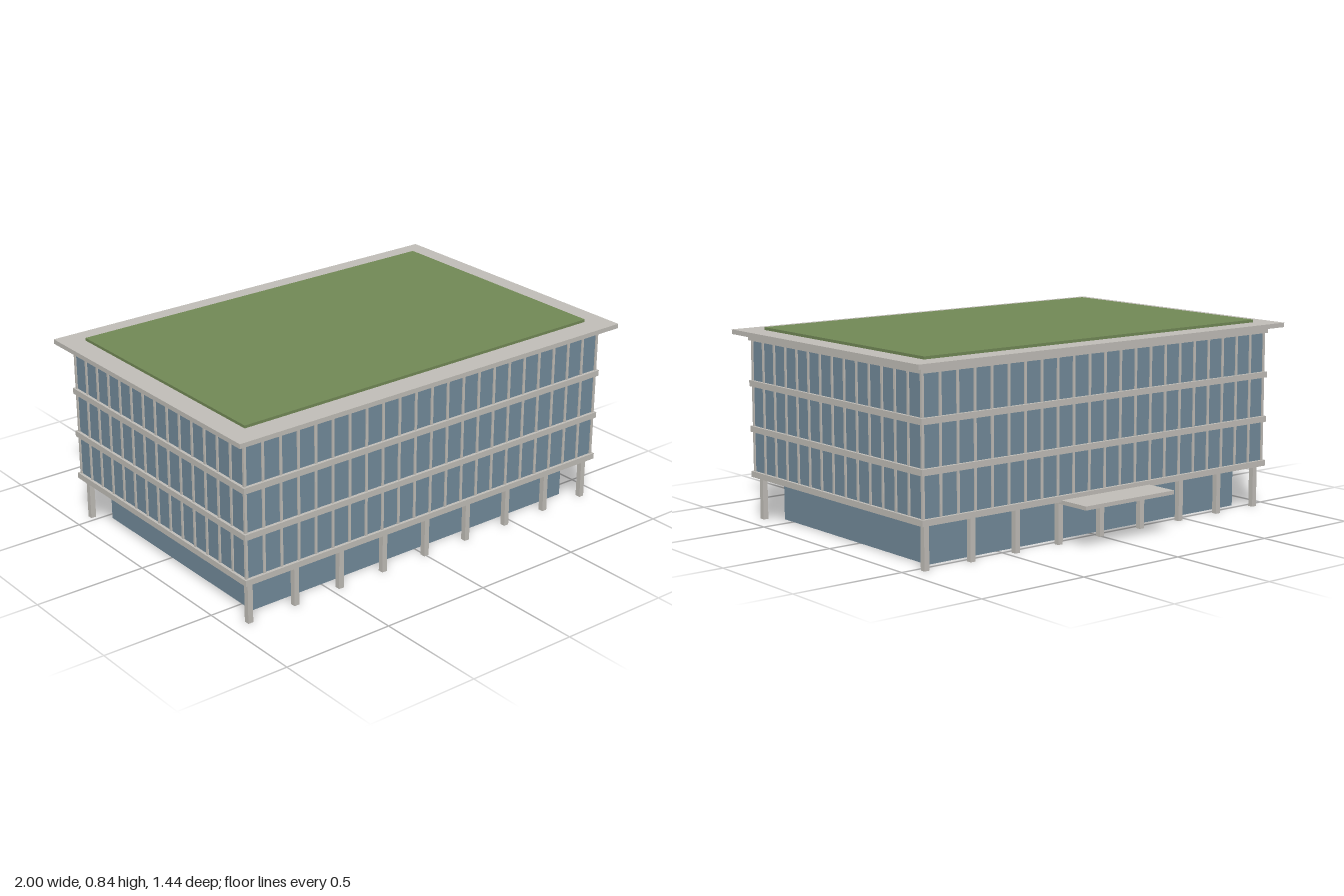
import * as THREE from 'three';

export function createModel() {
  const model = new THREE.Group();
  model.name = 'officeBuilding';

  const material = (name, color) => {
    const m = new THREE.MeshStandardMaterial({ color });
    m.name = name;
    return m;
  };
  const concrete = material('concrete', 0xc1beb8);
  const glass = material('blueGlass', 0x738b9b);
  const grass = material('roofGreen', 0x728956);

  // The main block sits slightly forward of the origin, balancing the rear canopy
  const midZ = 0.051;

  // Box centred on (x, z) spanning y0..y1
  function box(name, mat, width, depth, y0, y1, x = 0, z = midZ, parent = model) {
    const mesh = new THREE.Mesh(new THREE.BoxGeometry(width, y1 - y0, depth), mat);
    mesh.position.set(x, (y0 + y1) / 2, z);
    mesh.name = name;
    parent.add(mesh);
    return mesh;
  }
  function group(name) {
    const g = new THREE.Group();
    g.name = name;
    model.add(g);
    return g;
  }

  // Recessed ground floor
  box('groundFloor', glass, 1.7, 1.036, 0, 0.186);

  // Glazed upper storeys and projecting floor slabs
  const slabY = [0.185, 0.384, 0.583, 0.782];
  const slabHeight = 0.026;
  const halfX = 0.937, halfZ = 0.607;
  for (let i = 0; i < 3; i++) {
    box('storeyGlazing', glass, halfX * 2, halfZ * 2, slabY[i] + slabHeight, slabY[i + 1]);
  }
  slabY.forEach((y) => box('floorSlab', concrete, 1.9, 1.242, y, y + slabHeight));

  // Mullions on all four sides of each storey
  const mullions = group('mullions');
  const baysX = 22, baysZ = 14, bar = 0.011;
  for (let s = 0; s < 3; s++) {
    const y0 = slabY[s] + slabHeight, y1 = slabY[s + 1];
    for (const side of [-1, 1]) {
      for (let i = 0; i <= baysX; i++) {
        const x = halfX * (2 * i / baysX - 1);
        box('mullion', concrete, bar, bar, y0, y1, x, midZ + side * halfZ, mullions);
      }
      for (let i = 1; i < baysZ; i++) {
        const z = midZ + halfZ * (2 * i / baysZ - 1);
        box('mullion', concrete, bar, bar, y0, y1, side * halfX, z, mullions);
      }
    }
  }

  // Front and rear rows of columns
  const columns = group('columns');
  for (const side of [-1, 1]) {
    for (let i = -4; i <= 4; i++) {
      box('column', concrete, 0.024, 0.024, 0, 0.186, i * 0.228, midZ + side * 0.584, columns);
    }
  }

  // Overhanging roof with planted top
  box('roofSlab', concrete, 2, 1.342, 0.808, 0.828);
  box('greenRoof', grass, 1.804, 1.142, 0.828, 0.84, 0, 0.045 + 0.001);

  // Rear entrance canopy
  box('entranceCanopy', concrete, 0.49, 0.255, 0.176, 0.193, 0, -0.5935);

  return model;
}
